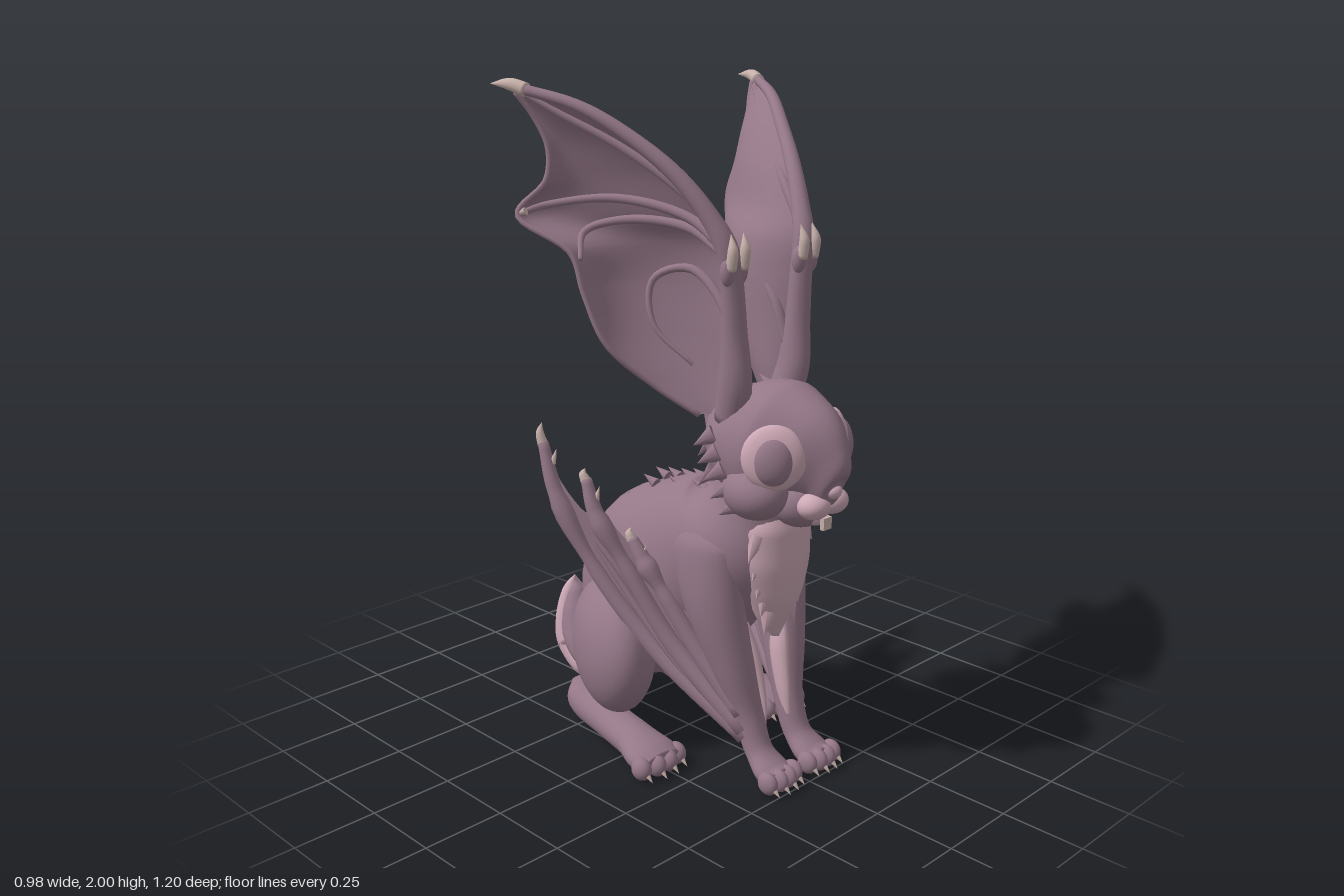
import * as THREE from 'three';
import { ParametricGeometry } from 'three/addons/geometries/ParametricGeometry.js';

const V = (x, y, z) => new THREE.Vector3(x, y, z);
const curve = pts => new THREE.CatmullRomCurve3(pts.map(p => V(p[0], p[1], p[2])));

// Smooth closed tube through stations [x, y, z, halfWidth, halfDepth]
function sweep(pts, steps = 32, sides = 20) {
  const path = curve(pts);
  const size = curve(pts.map(p => [p[3], p[4] ?? p[3], 0]));
  const pos = [], idx = [];
  for (let i = 0; i <= steps; i++) {
    const t = i / steps, c = path.getPoint(t), r = size.getPoint(t), T = path.getTangent(t);
    const S = V(1, 0, 0).addScaledVector(T, -T.x).normalize();
    const N = T.clone().cross(S);
    for (let j = 0; j < sides; j++) {
      const a = j / sides * Math.PI * 2;
      const p = c.clone().addScaledVector(S, Math.cos(a) * Math.max(r.x, 0.001))
        .addScaledVector(N, Math.sin(a) * Math.max(r.y, 0.001));
      pos.push(p.x, p.y, p.z);
      if (i < steps) {
        const k = i * sides, n = (j + 1) % sides;
        idx.push(k + j, k + n, k + sides + n, k + j, k + sides + n, k + sides + j);
      }
    }
  }
  const first = pos.length / 3, last = steps * sides;
  pos.push(...path.getPoint(0).toArray(), ...path.getPoint(1).toArray());
  for (let j = 0; j < sides; j++) {
    const n = (j + 1) % sides;
    idx.push(first, n, j, first + 1, last + j, last + n);
  }
  const g = new THREE.BufferGeometry();
  g.setAttribute('position', new THREE.Float32BufferAttribute(pos, 3));
  g.setIndex(idx);
  g.computeVertexNormals();
  return g;
}

const ball = (x, y, z, rx, ry, rz, turnY = 0, turnX = 0) =>
  new THREE.SphereGeometry(1, 28, 18).scale(rx, ry, rz).rotateX(turnX).rotateY(turnY).translate(x, y, z);

// Pointed cone from a to b
function spike(a, b, r) {
  const A = V(...a), d = V(...b).sub(A), h = d.length();
  const g = new THREE.ConeGeometry(r, h, 8).translate(0, h / 2, 0);
  g.applyQuaternion(new THREE.Quaternion().setFromUnitVectors(V(0, 1, 0), d.normalize()));
  return g.translate(...a);
}

function mirrored(geo) {
  const g = geo.clone().scale(-1, 1, 1), a = g.index.array;
  for (let i = 0; i < a.length; i += 3) [a[i], a[i + 1]] = [a[i + 1], a[i]];
  return g;
}

// Ear cross-sections: front edge, back edge, cup depth near front and back
const earRows = [
  [[.10, 1.08, .27], [.14, 1.08, .18], .03, .03],
  [[.12, 1.20, .30], [.24, 1.17, .10], .12, .10],
  [[.13, 1.33, .305], [.35, 1.29, .03], .18, .19],
  [[.14, 1.46, .305], [.385, 1.43, -.02], .18, .24],
  [[.155, 1.56, .30], [.40, 1.54, -.055], .16, .23],
  [[.18, 1.64, .265], [.475, 1.64, -.185], .12, .18],
  [[.23, 1.75, .19], [.41, 1.73, -.14], .07, .12],
  [[.30, 1.85, .085], [.40, 1.82, -.14], .03, .07],
  [[.38, 1.93, -.03], [.425, 1.90, -.165], .01, .02],
  [[.465, 1.975, -.17], [.465, 1.965, -.19], 0, 0],
];
const earFront = curve(earRows.map(r => r[0])), earBack = curve(earRows.map(r => r[1]));
const earCup = curve(earRows.map((r, i) => [r[2], r[3], i]));
// depth pushes the surface away from the opening
const earSurface = depth => (u, v, target) => {
  const f = earFront.getPoint(v), b = earBack.getPoint(v), c = earCup.getPoint(v);
  const n = V(b.z - f.z, 0, f.x - b.x).normalize();
  const extra = depth * Math.sin(v * Math.PI);
  const p1 = f.clone().lerp(b, .1).addScaledVector(n, c.x + extra);
  const p2 = f.clone().lerp(b, .95).addScaledVector(n, c.y + extra);
  return target.copy(new THREE.CubicBezierCurve3(f, p1, p2, b).getPoint(u));
};

export function createModel() {
  const model = new THREE.Group();
  const mat = (name, color, side = THREE.FrontSide) =>
    Object.assign(new THREE.MeshStandardMaterial({ color, side }), { name });
  const fur = mat('mauve fur', 0x957888, THREE.DoubleSide);
  const pale = mat('pale pink fur', 0xcca8b5);
  const horn = mat('claw beige', 0xc8b1ab);
  const add = (name, geo, m) => {
    const mesh = new THREE.Mesh(geo, m);
    mesh.name = name;
    model.add(mesh);
  };
  const pair = (name, geo, m) => {
    add(name + 'Left', geo, m);
    add(name + 'Right', mirrored(geo), m);
  };

  // Torso, from neck to rump
  add('torso', sweep([
    [0, .95, .30, .11, .11], [0, .82, .28, .14, .14], [0, .71, .225, .19, .205],
    [0, .60, .08, .20, .255], [0, .48, -.09, .205, .295], [0, .36, -.19, .185, .265],
    [0, .22, -.26, .13, .175], [0, .09, -.30, .05, .06]], 48, 36), fur);
  // Pale chest ruff with a jagged border
  add('chestPatch', sweep([
    [0, .83, .34, .08, .07], [0, .76, .338, .125, .09], [0, .67, .34, .125, .093],
    [0, .57, .345, .095, .08], [0, .48, .345, .05, .05], [0, .42, .355, .008, .015]], 32, 28), pale);
  for (let i = 0; i < 5; i++) {
    const y = .75 - i * .06, x = .125 - i * .018;
    pair('chestTuft', spike([x * .75, y, .365], [x + .012, y - .065, .372], .03), pale);
  }

  // Head, tapering to the nose
  add('head', sweep([
    [0, 1.03, .13, .02, .02], [0, 1.03, .18, .115, .115], [0, 1.01, .27, .168, .172],
    [0, .995, .37, .176, .197], [0, .98, .455, .122, .174], [0, .94, .52, .066, .12],
    [0, .905, .555, .042, .055], [0, .9, .57, .01, .01]], 40, 32), fur);
  pair('cheek', ball(.115, .895, .375, .088, .08, .105, .25), fur);
  add('jaw', ball(0, .86, .45, .10, .075, .082), fur);
  pair('muzzle', ball(.038, .868, .522, .05, .038, .046), pale);
  add('nose', ball(0, .91, .553, .03, .022, .028), pale);
  add('chin', ball(0, .828, .50, .035, .03, .03), pale);
  add('teeth', new THREE.BoxGeometry(.034, .035, .014).translate(0, .812, .535), horn);
  pair('eyeRing', ball(.130, 1.01, .455, .09, .092, .036, .83, -.08), pale);
  pair('eye', ball(.143, 1.005, .465, .056, .068, .034, .83, -.08), fur);
  // Fur points on cheeks, crown and nape
  for (let i = 0; i < 5; i++) {
    const y = .86 + i * .045, x = .15 + .012 * Math.sin(i * .8), z = .35 - i * .025;
    pair('cheekTuft', spike([x, y, z], [x + .04, y - .035, z - .045], .03), fur);
    pair('napeTuft', spike([.035 + (i % 2) * .06, .87 + i * .045, .2], [.04 + (i % 2) * .07, .81 + i * .045, .145], .026), fur);
  }
  for (const [y, z] of [[1.17, .40], [1.165, .33], [1.06, .19], [.97, .19]])
    add('crownTuft', spike([0, y, z], [0, y + .028, z - .05], .018), fur);
  // Fur points lying along the back
  const back = [[.835, .12], [.825, .02], [.805, -.09], [.74, -.20], [.65, -.28], [.53, -.35], [.40, -.39]];
  back.forEach(([y, z], i) => {
    const d = i < 3 ? [.02, -.055] : [-.025, -.04];
    add('backTuft', spike([0, y, z], [0, y + d[0], z + d[1]], .018), fur);
    pair('backTuft', spike([.05, y - .012, z], [.052, y + d[0] - .012, z + d[1]], .018), fur);
  });

  // Wing-like ears: inner membrane, smooth outer shell, thick front rim
  const earInner = earSurface(0), fingerBed = earSurface(-.014);
  pair('earInner', new ParametricGeometry(earInner, 20, 60), fur);
  pair('earShell', new ParametricGeometry(earSurface(.03), 20, 60), fur);
  const rim = [[.05, .05], [.043, .05], [.037, .035], [.035, .03], [.034, .03],
    [.028, .026], [.024, .022], [.021, .019], [.019, .016], [.014, .014]];
  pair('earRim', sweep(earRows.map(([p], i) => [...p, ...rim[i]]), 48, 14), fur);
  pair('earBackEdge', sweep(earRows.map(([, p]) => [...p, .008]), 60, 8), fur);
  // Finger bones as [across, up] paths on the ear surface
  const fingers = [
    [[0, .44], [.2, .55], [.5, .60], [.8, .58], [1, .555]],
    [[0, .42], [.25, .51], [.5, .53], [.75, .49], [.95, .42]],
    [[.05, .16], [.15, .28], [.35, .37], [.55, .34], [.6, .24], [.5, .14]],
    [[0, .48], [.12, .62], [.3, .75], [.5, .88], [.5, .99]],
  ];
  for (const f of fingers)
    pair('earFinger', sweep(f.map(([u, v], i) => [...fingerBed(u, v, V(0, 0, 0)).toArray(), .017 - i * .0022]), 28, 10), fur);
  pair('earTipClaw', sweep([[.455, 1.97, -.155, .02], [.474, 1.985, -.20, .017], [.486, 1.985, -.268, .001]], 10, 10), horn);
  pair('earPointClaw', spike([.462, 1.65, -.165], [.477, 1.635, -.195], .012), horn);
  for (const x of [.12, .168]) {
    pair('earThumb', ball(x, 1.505, .315, .022, .04, .02), fur);
    pair('earThumbClaw', sweep([[x, 1.51, .325, .016], [x, 1.56, .333, .015], [x - .004, 1.605, .322, .001]], 10, 10), horn);
  }

  // Front legs and paws
  pair('frontLeg', sweep([
    [.12, .78, .20, .03, .04], [.132, .69, .20, .075, .12], [.136, .54, .235, .075, .10], [.112, .35, .29, .062, .068],
    [.088, .19, .335, .044, .045], [.085, .09, .375, .043, .04], [.087, .045, .43, .06, .036], [.09, .035, .47, .05, .03]], 40, 22), fur);
  pair('innerLegPatch', sweep([[.08, .47, .31, .01], [.062, .36, .318, .022, .034], [.052, .23, .345, .014, .026], [.055, .12, .37, .004]], 20, 12), pale);
  // Hind legs and long feet
  pair('haunch', ball(.177, .29, -.155, .122, .21, .228, .5), fur);
  pair('hindFoot', sweep([
    [.18, .12, -.31, .03, .03], [.195, .075, -.27, .06, .06], [.225, .058, -.12, .06, .055],
    [.255, .055, .03, .066, .05], [.27, .045, .12, .085, .043], [.272, .04, .165, .07, .03]], 30, 20), fur);
  // Four toes with claws per foot
  for (let i = 0; i < 4; i++) {
    const arch = 1 - Math.abs(i - 1.5) / 1.5;
    for (const [name, x, z, r] of [['front', .033 + i * .036, .462 + arch * .015, .022], ['hind', .2 + i * .047, .145 + arch * .02, .027]]) {
      pair(name + 'Toe', ball(x, .036, z, r, .034, .034), fur);
      pair(name + 'Claw', spike([x, .03, z + .02], [x, .008, z + .048], .011), horn);
    }
  }

  // Folded wing: three finger bones fanning from each wrist
  const bones = [
    [[.105, .13, .34], [.20, .33, .09], [.285, .57, -.10], [.34, .80, -.215], [.345, .95, -.265]],
    [[.11, .15, .335], [.19, .38, .12], [.255, .60, .0], [.30, .76, -.085], [.305, .86, -.12]],
    [[.11, .20, .325], [.16, .38, .19], [.20, .53, .10], [.225, .63, .035], [.235, .69, 0]],
    [[.12, .22, .32], [.14, .34, .28], [.15, .44, .24], [.16, .53, .20], [.17, .60, .15]],
  ];
  const boneCurves = bones.map(curve);
  bones.slice(0, 3).forEach((b, i) => {
    pair('wingBone', sweep(b.map((p, k) => [...p, [.03, .027, .024, .024, .016][k]]), 28, 12), fur);
    const [x, y, z] = b[4], h = [.058, .03, .03][i];
    pair('wingClaw', sweep([[x, y - .008, z, .016], [x + .004, y + h * .5, z - .008, .012], [x - .002, y + h, z - .006, .001]], 10, 10), horn);
    pair('wingThumbClaw', spike([x - .01, y - .06, z + .03], [x - .015, y - .015, z + .043], .011), horn);
  });
  for (let i = 0; i < 3; i++) {
    pair('wingMembrane', new ParametricGeometry((u, v, target) => {
      const reach = v * (.95 - .24 * Math.sin(u * Math.PI));
      target.copy(boneCurves[i].getPoint(reach)).lerp(boneCurves[i + 1].getPoint(reach), u);
      target.x -= .02 * Math.sin(u * Math.PI) * v;
    }, 12, 20), fur);
  }
  // Mid ridge in the widest membrane
  pair('wingRidge', sweep([[.11, .15, .335, .012], [.2, .36, .11, .012], [.265, .57, -.04, .01], [.30, .67, -.1, .004]], 20, 8), fur);

  // Upturned tail, dark in front and pale behind
  add('tailFront', sweep([
    [0, .14, -.34, .07, .05], [0, .12, -.42, .1, .065], [0, .17, -.485, .095, .065],
    [0, .25, -.52, .068, .048], [0, .31, -.535, .032, .025], [0, .335, -.54, .002]], 28, 20), fur);
  add('tailBack', sweep([
    [0, .07, -.36, .04, .025], [0, .075, -.45, .085, .055], [0, .14, -.525, .088, .06],
    [0, .23, -.55, .074, .043], [0, .31, -.555, .04, .025], [0, .355, -.545, .002]], 28, 20), pale);
  for (let i = 0; i < 3; i++)
    pair('tailTuft', spike([.03 + i * .02, .06 + i * .05, -.44 - i * .03], [.045 + i * .02, .025 + i * .05, -.48 - i * .03], .025), pale);

  return model;
}
